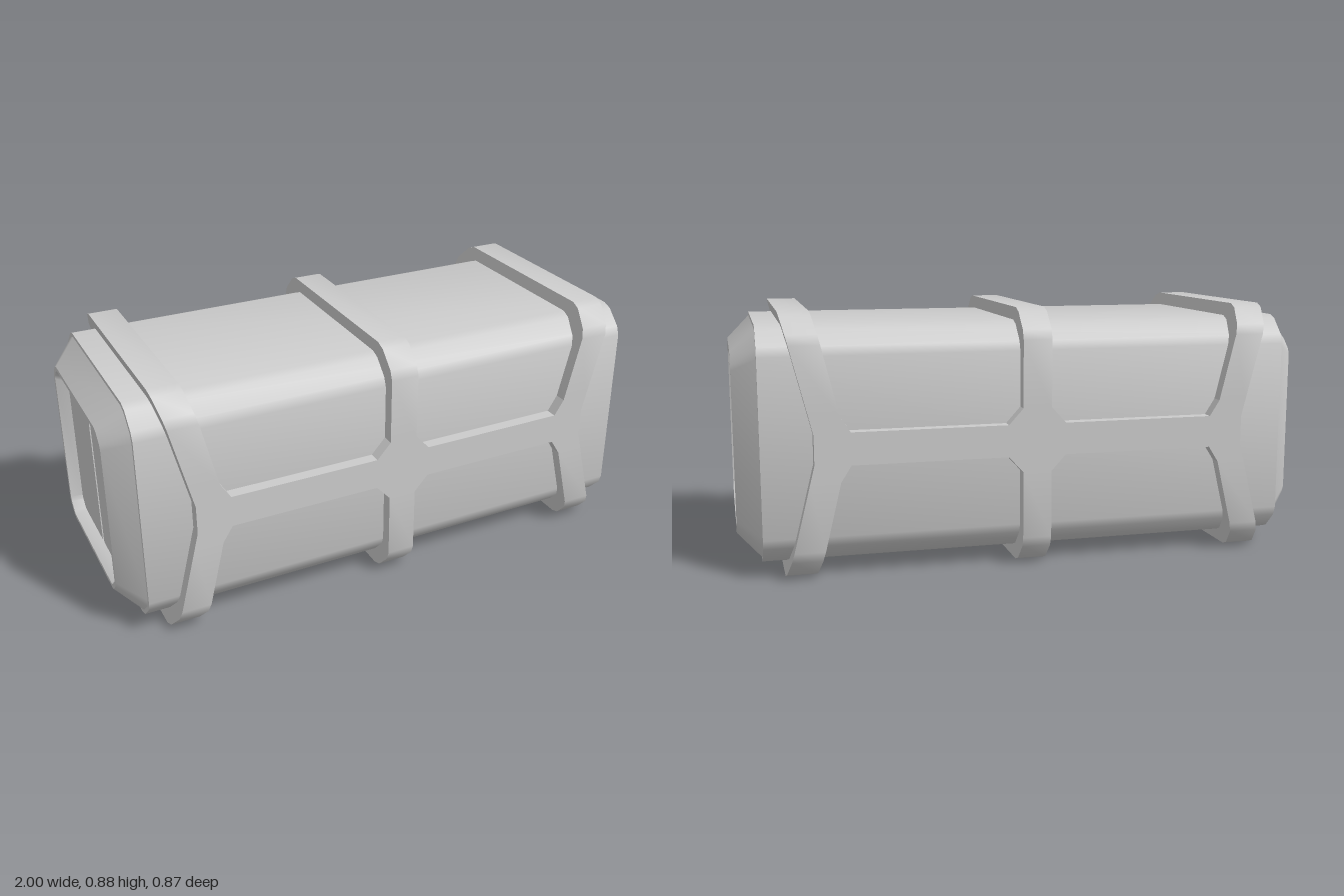
import * as THREE from 'three';
import { toCreasedNormals } from 'three/addons/utils/BufferGeometryUtils.js';

const MID = 0.4425; // height of the long axis
const material = new THREE.MeshStandardMaterial({ color: 0xcccccc });

// Softened octagon in (z, y); sideYs adds points along both upright sides
function section(hz, hy, c, sideYs = []) {
  const corner = [[0, 1.2], [0.15, 0.8], [0.8, 0.15], [1.2, 0]].map(([a, b]) => [hz - a * c, hy - b * c]);
  const back = [...corner].reverse();
  return [
    ...sideYs.map(y => [hz, y]),
    ...corner,
    ...back.map(([z, y]) => [-z, y]),
    ...[...sideYs].reverse().map(y => [-hz, y]),
    ...corner.map(([z, y]) => [-z, -y]),
    ...back.map(([z, y]) => [z, -y]),
  ];
}

// Skin through loops of [x, y, z], running from +x to -x
function loft(loops, capped) {
  const pos = [];
  const tri = (...pts) => pts.forEach(p => pos.push(...p));
  const n = loops[0].length;
  for (let k = 0; k < loops.length - 1; k++) {
    const a = loops[k], b = loops[k + 1];
    for (let i = 0; i < n; i++) {
      const j = (i + 1) % n;
      tri(a[i], a[j], b[j]);
      tri(a[i], b[j], b[i]);
    }
  }
  if (capped) {
    const a = loops[0], b = loops[loops.length - 1];
    for (let i = 0; i < n; i++) {
      const j = (i + 1) % n;
      tri([a[0][0], 0, 0], a[j], a[i]);
      tri([b[0][0], 0, 0], b[i], b[j]);
    }
  }
  const g = new THREE.BufferGeometry();
  g.setAttribute('position', new THREE.Float32BufferAttribute(pos, 3));
  return toCreasedNormals(g, 0.5);
}

export function createModel() {
  const root = new THREE.Group();
  const add = (name, geometry) => {
    const mesh = new THREE.Mesh(geometry, material);
    mesh.name = name;
    mesh.position.y = MID;
    root.add(mesh);
    return mesh;
  };

  // Body with tapered ends and shallow recesses: x, half depth, half height, chamfer
  const end = [
    [0.96, 0.27, 0.277, 0.035],
    [1, 0.286, 0.293, 0.042],
    [1, 0.301, 0.307, 0.048],
    [0.92, 0.38, 0.385, 0.075],
    [0.92, 0.393, 0.3975, 0.08],
  ];
  const otherEnd = end.map(([x, ...r]) => [-x, ...r]).reverse();
  otherEnd.push([-0.94, 0.27, 0.277, 0.035]);
  const loops = [...end, ...otherEnd].map(([x, hz, hy, c]) => section(hz, hy, c).map(([z, y]) => [x, y, z]));
  add('body', loft(loops, true));

  // Pair of door panels with a seam between them on the -x end
  for (const s of [1, -1]) {
    const half = section(0.27, 0.277, 0.035).filter(p => p[0] > 0);
    const pts = [[0.009, 0.277], [0.009, -0.277], ...half.slice(4), ...half.slice(0, 4)];
    const shape = new THREE.Shape(pts.map(([z, y]) => new THREE.Vector2(s * z, y)));
    const g = new THREE.ExtrudeGeometry(shape, { depth: 0.02, bevelEnabled: false });
    g.rotateY(-Math.PI / 2);
    add(s > 0 ? 'frontDoorPanel' : 'backDoorPanel', g).position.x = -0.94;
  }

  // Bands around the body; the end bands lean outward above and below the middle
  const lean = (y, flat, x0, x1) => x0 + (x1 - x0) * Math.max(0, Math.abs(y) - flat) / (MID - flat);
  const band = (name, xHigh, xLow) => {
    const sideYs = [-0.11, -0.05, 0.05, 0.11];
    const outer = section(0.435, MID, 0.085, sideYs);
    const inner = section(0.37, 0.375, 0.07, sideYs);
    const at = (pts, fx) => pts.map(([z, y]) => [fx(y), y, z]);
    add(name, loft([at(inner, xHigh), at(outer, xHigh), at(outer, xLow), at(inner, xLow)], false));
  };
  const outerEdge = y => lean(y, 0.05, 0.75, 0.848);
  const innerEdge = y => lean(y, 0.11, 0.665, 0.745);
  band('middleBand', () => 0.05, () => -0.05);
  band('leftBand', outerEdge, innerEdge);
  band('rightBand', y => -innerEdge(y), y => -outerEdge(y));

  // Side rails with flared ends joining the bands
  const rail = [
    [0.05, -0.11], [0.1, -0.055], [0.63, -0.055], [0.665, -0.11],
    [0.665, 0.11], [0.63, 0.055], [0.1, 0.055], [0.05, 0.11],
  ];
  for (const s of [1, -1]) {
    const shape = new THREE.Shape(rail.map(([x, y]) => new THREE.Vector2(s * x, y)));
    const g = new THREE.ExtrudeGeometry(shape, { depth: 0.06, bevelEnabled: false });
    const side = s > 0 ? 'Left' : 'Right';
    add('front' + side + 'Rail', g).position.z = 0.375;
    add('back' + side + 'Rail', g).position.z = -0.435;
  }
  return root;
}
